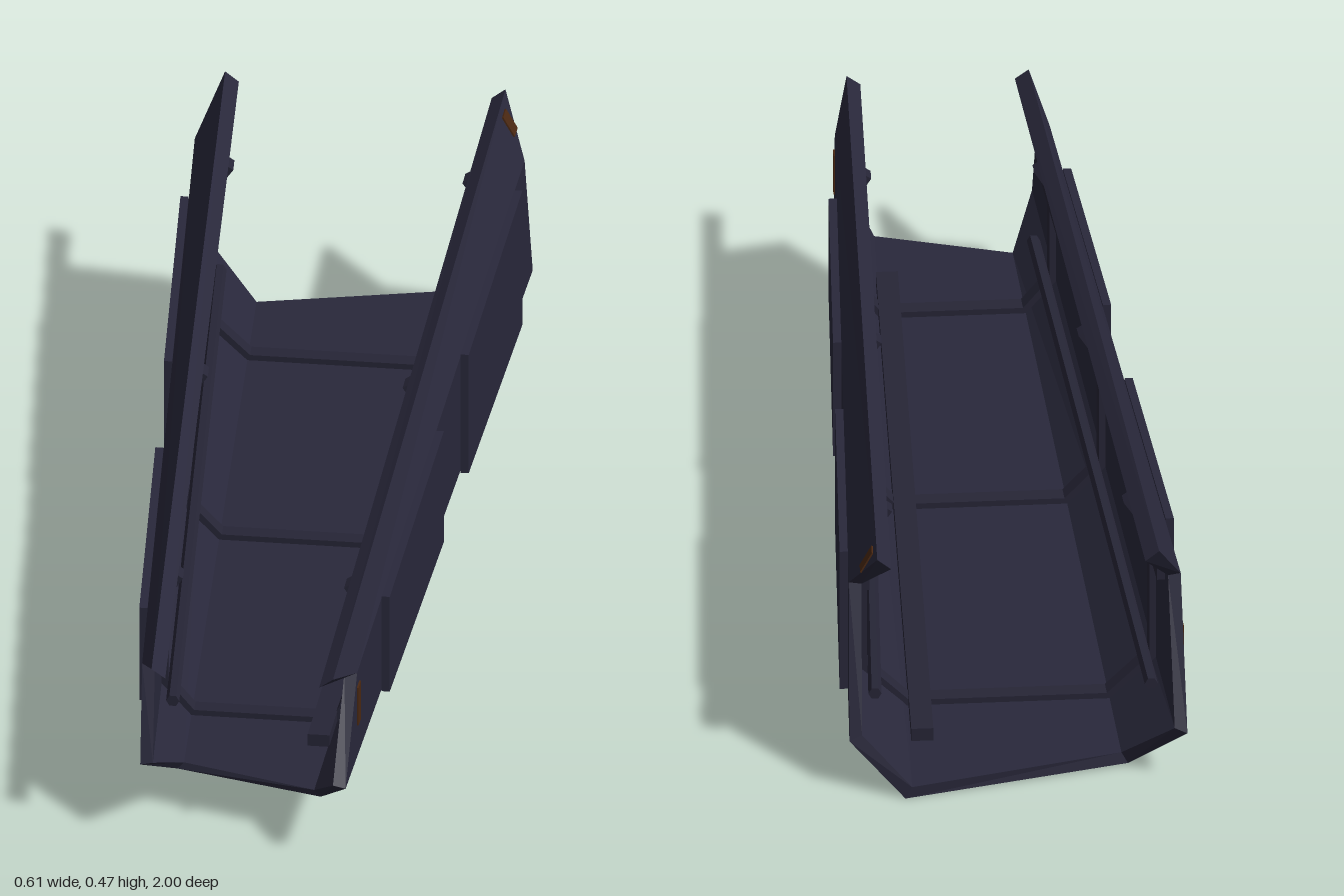
import * as THREE from 'three';

const mats = {
  hull: new THREE.MeshStandardMaterial({ name: 'dark hull', color: 0x29283b }),
  rib: new THREE.MeshStandardMaterial({ name: 'dark ribs', color: 0x262536 }),
  scorch: new THREE.MeshStandardMaterial({ name: 'scorched rust', color: 0x4a2812 }),
};

// Right half of the channel at z = -1 (back) and z = 1 (front):
// lip, shoulder, bilge, floor edge
const outerBack = [[0.257, 0.478], [0.308, 0.386], [0.308, 0.1], [0.207, 0.004]];
const outerFront = [[0.165, 0.393], [0.188, 0.335], [0.188, 0.165], [0.13, 0.098]];
const innerBack = [[0.232, 0.458], [0.285, 0.382], [0.285, 0.112], [0.195, 0.027]];
const innerFront = [[0.14, 0.375], [0.165, 0.334], [0.165, 0.17], [0.118, 0.111]];

const mix = (a, b, t) => a.map((v, i) => v + (b[i] - v) * t);
const mirror = (pts) => pts.map(([x, y]) => [-x, y]);
// Full open U, from the left lip round to the right lip
const openU = (half) => [...mirror(half), ...[...half].reverse()];
const band = (outside, inside) => [...openU(outside), ...openU(inside).reverse()];

// Tapered solid between two rings; point i pairs with point n-1-i in the caps.
// Each ring point may have its own end position in z.
function loft(name, back, front, zBack, zFront, mat) {
  const n = back.length;
  const ends = [zBack, zFront].map((z) => (Array.isArray(z) ? [...z] : Array(n).fill(z)));
  let rings = ends.map((zs) => zs.map((z, i) => [...mix(back[i], front[i], (z + 1) / 2), z]));
  const area = back.reduce((s, p, i) => {
    const q = back[(i + 1) % n];
    return s + p[0] * q[1] - q[0] * p[1];
  }, 0);
  if (area < 0) rings = rings.map((r) => r.reverse());
  const [B, F] = rings;
  const pos = [];
  const quad = (a, b, c, d) => pos.push(...a, ...b, ...c, ...a, ...c, ...d);
  for (let i = 0; i < n; i++) {
    const j = (i + 1) % n;
    quad(F[i], B[i], B[j], F[j]);
  }
  for (let i = 0; i < n / 2 - 1; i++) {
    const k = n - 1 - i;
    quad(F[i], F[i + 1], F[k - 1], F[k]);
    quad(B[k], B[k - 1], B[i + 1], B[i]);
  }
  const geo = new THREE.BufferGeometry();
  geo.setAttribute('position', new THREE.Float32BufferAttribute(pos, 3));
  geo.computeVertexNormals();
  const mesh = new THREE.Mesh(geo, mat);
  mesh.name = name;
  return mesh;
}

// Plate lying on the outer skin between profile points a and a + 1
function plate(name, side, a, f0, f1, z0, z1, thick, mat) {
  const ring = (half) => {
    const p = mix(half[a], half[a + 1], f0), q = mix(half[a], half[a + 1], f1);
    const dx = q[0] - p[0], dy = q[1] - p[1], len = Math.hypot(dx, dy);
    const nx = (-dy / len) * thick, ny = (dx / len) * thick;
    const r = [p, q, [q[0] + nx, q[1] + ny], [p[0] + nx, p[1] + ny]];
    return side < 0 ? mirror(r) : r;
  };
  return loft(name, ring(outerBack), ring(outerFront), z0, z1, mat);
}

export function createModel() {
  const model = new THREE.Group();
  model.name = 'taperedHullSection';

  // Channel shell with broken, jagged ends
  const zBack = [-0.965, -0.88, -0.97, -0.905, -1, -0.955, -0.87, -0.96];
  const zFront = [1, 0.89, 0.955, 0.84, 0.915, 1, 0.88, 1];
  const both = (z) => [...z, ...[...z].reverse()];
  model.add(loft('shell', band(outerBack, innerBack), band(outerFront, innerFront),
    both(zBack), both(zFront), mats.hull));

  // Cross frames hugging the inside
  const inset = [[-0.009, -0.006], [-0.012, -0.003], [-0.012, 0.005], [-0.005, 0.011]];
  const shrink = (half) => half.map(([x, y], i) => [x + inset[i][0], y + inset[i][1]]);
  for (const z of [-0.7, -0.02, 0.645]) {
    model.add(loft('crossFrame', band(innerBack, shrink(innerBack)),
      band(innerFront, shrink(innerFront)), z - 0.016, z + 0.016, mats.rib));
  }

  const rect = (x0, x1, y0, y1) => [[x0, y0], [x1, y0], [x1, y1], [x0, y1]];
  const hexagon = (x, y, r) => Array.from({ length: 6 }, (_, i) =>
    [x + r * Math.cos(i * Math.PI / 3), y + r * Math.sin(i * Math.PI / 3)]);

  for (const side of [1, -1]) {
    const s = (ring) => (side < 0 ? mirror(ring) : ring);
    const label = side > 0 ? 'left' : 'right';
    // Stringer under the lip and pipe above the bilge
    model.add(loft(label + 'Stringer', s(rect(0.27, 0.287, 0.352, 0.378)),
      s(rect(0.15, 0.167, 0.306, 0.332)), -0.84, 0.8, mats.rib));
    model.add(loft(label + 'Pipe', s(hexagon(0.26, 0.13, 0.012)),
      s(hexagon(0.14, 0.185, 0.012)), -0.84, 0.75, mats.rib));
    // Raised armour panels, staggered between the sides
    const spans = side > 0 ? [[-0.76, -0.2], [0.06, 0.625]] : [[-0.675, -0.12], [0.17, 0.71]];
    for (const [z0, z1] of spans) {
      model.add(plate(label + 'Panel', side, 1, -0.02, 1.02, z0, z1, 0.015, mats.hull));
    }
  }

  // Conduit along the floor
  model.add(loft('floorConduit', rect(0.15, 0.19, 0.026, 0.052),
    rect(0.082, 0.122, 0.109, 0.135), -0.84, 0.75, mats.rib));

  // Scorched patches near the broken ends
  model.add(plate('frontScorch', 1, 1, 0.17, 0.62, 0.857, 0.882, 0.003, mats.scorch));
  model.add(plate('lipScorch', 1, 0, 0.12, 0.55, -0.912, -0.882, 0.003, mats.scorch));
  model.add(plate('backScorch', -1, 1, 0.35, 0.65, -0.9, -0.872, 0.003, mats.scorch));

  return model;
}
